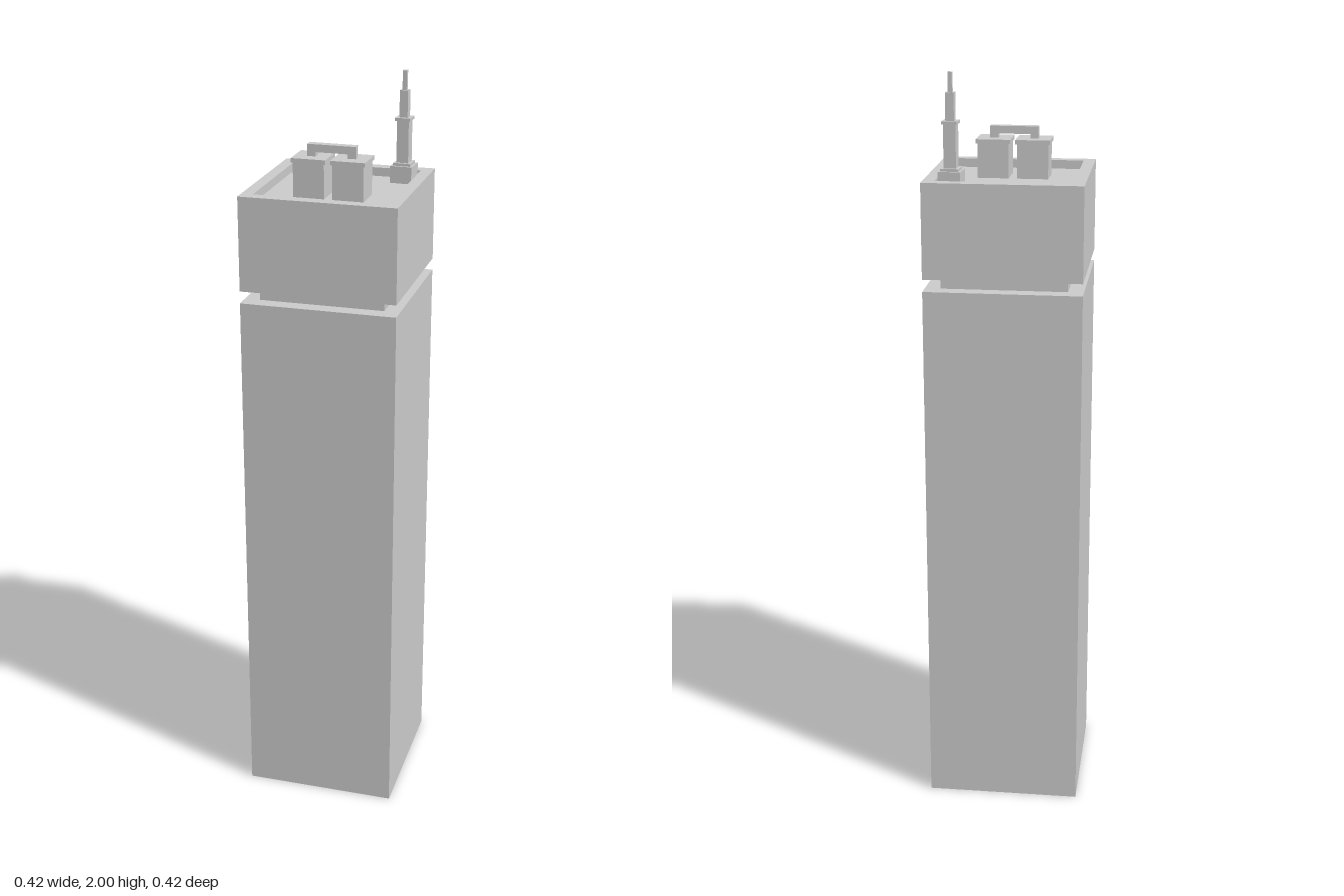
import * as THREE from 'three';

const material = new THREE.MeshStandardMaterial({ color: 0xcccccc });

// Box from y0 to y1 with a square or rectangular footprint
function box(parent, name, w, d, y0, y1, x = 0, z = 0) {
  const mesh = new THREE.Mesh(new THREE.BoxGeometry(w, y1 - y0, d), material);
  mesh.position.set(x, (y0 + y1) / 2, z);
  mesh.name = name;
  parent.add(mesh);
  return mesh;
}

function square(path, h) {
  return path.moveTo(-h, -h).lineTo(h, -h).lineTo(h, h).lineTo(-h, h).lineTo(-h, -h);
}

export function createModel() {
  const model = new THREE.Group();
  model.name = 'tower';

  // Main building, turned very slightly
  const building = new THREE.Group();
  building.name = 'building';
  building.rotation.y = 0.0145;
  model.add(building);
  const size = 0.412, inner = 0.35, roofY = 1.71, rimY = 1.733;
  box(building, 'shaft', size, size, 0, 1.453);
  box(building, 'recessedNeck', 0.33, 0.33, 1.453, 1.485);
  box(building, 'crown', size, size, 1.485, roofY);

  // Parapet rim around the sunken roof
  const rim = new THREE.Shape();
  square(rim, size / 2);
  rim.holes.push(square(new THREE.Path(), inner / 2));
  const rimGeometry = new THREE.ExtrudeGeometry(rim, { depth: rimY - roofY, bevelEnabled: false });
  rimGeometry.rotateX(-Math.PI / 2);
  const parapet = new THREE.Mesh(rimGeometry, material);
  parapet.position.y = roofY;
  parapet.name = 'parapet';
  building.add(parapet);

  // Pair of roof units with overhanging lids
  const units = new THREE.Group();
  units.name = 'roofUnits';
  units.position.set(-0.002, 0, 0.051);
  model.add(units);
  for (const side of [-1, 1]) {
    const x = side * 0.052;
    box(units, 'unitBody', 0.082, 0.082, roofY, 1.8, x);
    box(units, 'unitLid', 0.091, 0.089, 1.8, 1.811, x);
    box(units, 'pipeLeg', 0.022, 0.022, 1.811, 1.842, side * 0.053);
  }
  box(units, 'pipeBridge', 0.106, 0.022, 1.822, 1.842);

  // Stepped antenna: width, bottom, top
  const antenna = new THREE.Group();
  antenna.name = 'antenna';
  antenna.position.set(0.135, 0, -0.144);
  antenna.rotation.y = -0.05;
  model.add(antenna);
  [
    [0.058, roofY, 1.755],
    [0.046, 1.755, 1.762],
    [0.032, 1.762, 1.872],
    [0.04, 1.872, 1.88],
    [0.022, 1.88, 1.95],
    [0.011, 1.95, 2],
  ].forEach(([w, y0, y1], i) => box(antenna, 'antennaStage' + (i + 1), w, w, y0, y1));

  return model;
}
